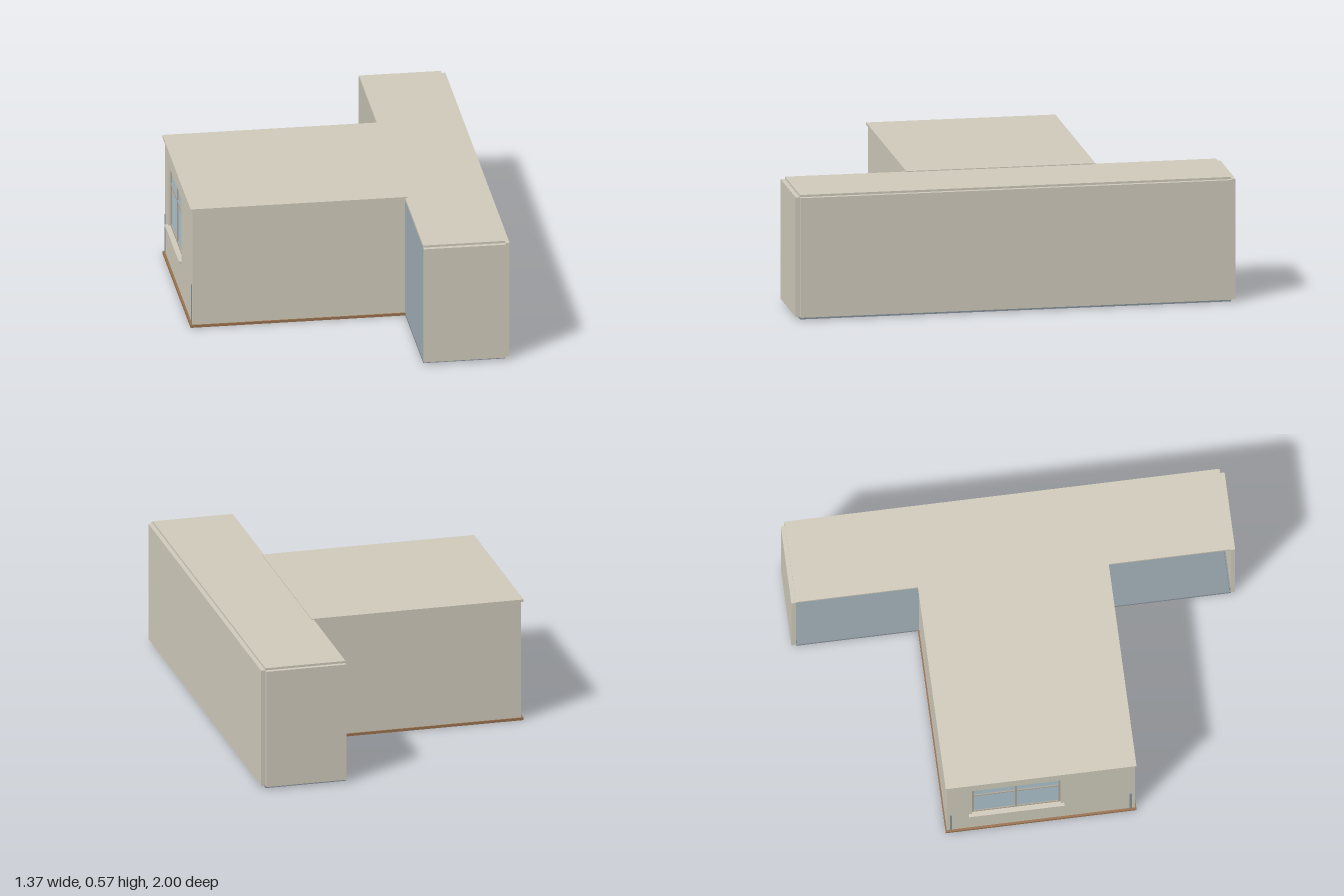
import * as THREE from 'three';

const mat = (name, color) => {
  const m = new THREE.MeshStandardMaterial({ color });
  m.name = name;
  return m;
};

export function createModel() {
  const wallPaint = mat('wallPaint', 0xcfcabb);
  const wood = mat('woodFloor', 0x99714e);
  const slate = mat('slateFloor', 0x87939a);
  const trim = mat('windowTrim', 0xaea697);
  const glass = mat('glass', 0xb0c4ce);

  const model = new THREE.Group();
  model.name = 'roomAndCorridor';

  // Box given by its extents on each axis
  const box = (name, m, [x0, x1], [y0, y1], [z0, z1], parent = model) => {
    const mesh = new THREE.Mesh(new THREE.BoxGeometry(x1 - x0, y1 - y0, z1 - z0), m);
    mesh.position.set((x0 + x1) / 2, (y0 + y1) / 2, (z0 + z1) / 2);
    mesh.name = name;
    parent.add(mesh);
    return mesh;
  };

  // Wall across the x axis, outlined in (z, y), with one rectangular opening
  const wallWithOpening = (name, x, depth, [z0, z1], [y0, y1], [a0, a1], [b0, b1]) => {
    const rect = (P, l, r, b, t) => {
      const p = new P();
      p.moveTo(l, b);
      p.lineTo(r, b);
      p.lineTo(r, t);
      p.lineTo(l, t);
      p.closePath();
      return p;
    };
    // The shape is turned so that its x runs along +z
    const shape = rect(THREE.Shape, -z1, -z0, y0, y1);
    shape.holes.push(rect(THREE.Path, -a1, -a0, b0, b1));
    const geo = new THREE.ExtrudeGeometry(shape, { depth, bevelEnabled: false });
    geo.rotateY(Math.PI / 2);
    const mesh = new THREE.Mesh(geo, wallPaint);
    mesh.position.x = x;
    mesh.name = name;
    model.add(mesh);
  };

  // Floors and ceilings
  const F = 0.012;
  box('roomFloor', wood, [-0.68, 0.29], [0, F], [-0.43, 0.43]);
  box('corridorFloor', slate, [0.29, 0.66], [0, F], [-0.98, 0.98]);
  box('roomCeiling', wallPaint, [-0.68, 0.3], [0.564, 0.575], [-0.43, 0.43]);
  box('corridorCeiling', wallPaint, [0.29, 0.66], [0.56, 0.571], [-0.98, 0.98]);

  // Mirrored walls: room sides with low panelling, corridor ends
  for (const s of [-1, 1]) {
    const span = (a, b) => (s > 0 ? [a, b] : [-b, -a]);
    box('roomSideWall', wallPaint, [-0.67, 0.29], [F, 0.564], span(0.405, 0.424));
    box('roomPanelling', slate, [-0.673, 0.27], [F, 0.2], span(0.4, 0.41));
    box('corridorEndWall', wallPaint, [0.29, 0.66], [F, 0.561], span(0.98, 1));
    box('corridorEndSkirting', slate, [0.3, 0.655], [F, 0.042], span(0.974, 0.98));
  }

  // Corridor long wall and its skirting
  box('corridorLongWall', wallPaint, [0.66, 0.68], [F, 0.561], [-0.98, 0.98]);
  box('corridorSkirting', slate, [0.654, 0.66], [F, 0.042], [-0.974, 0.974]);

  // Window wall, and the partition with a doorway to the corridor
  const wz = [-0.31, 0.09], wy = [0.185, 0.48];
  wallWithOpening('windowWall', -0.67, 0.02, [-0.405, 0.405], [F, 0.564], wz, wy);
  wallWithOpening('partitionWall', 0.27, 0.02, [-0.405, 0.405], [F, 0.564], [0.12, 0.3], [F + 0.002, 0.42]);

  // Window: pane, frame, glazing bars and sill
  const win = new THREE.Group();
  win.name = 'window';
  model.add(win);
  box('pane', glass, [-0.656, -0.652], wy, wz, win);
  const bx = [-0.661, -0.651], t = 0.009;
  for (const z of [wz[0], (wz[0] + wz[1] - t) / 2, wz[1] - t]) {
    box('uprightBar', trim, bx, wy, [z, z + t], win);
  }
  for (const y of [wy[0], 0.385, wy[1] - t]) {
    box('crossBar', trim, bx, [y, y + t], wz, win);
  }
  box('sill', wallPaint, [-0.685, -0.65], [0.173, 0.185], [-0.325, 0.105], win);

  return model;
}
